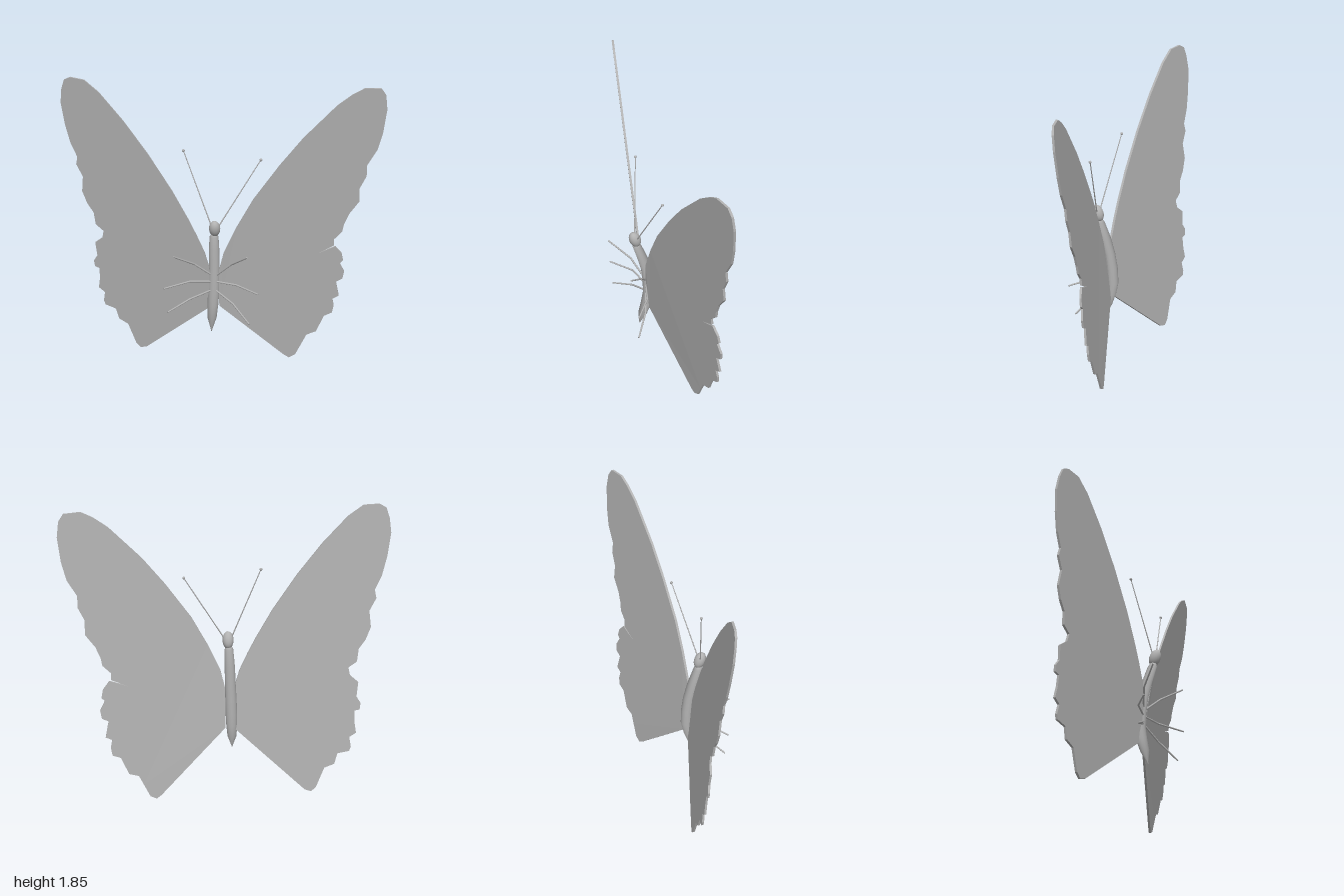
import * as THREE from 'three';

const grey = new THREE.MeshStandardMaterial({ color: 0xb2b2b2 });
grey.name = 'matt grey';

const V = (p) => new THREE.Vector3(...p);

// Scalloped wing outlines, from the upper root round the tip to the lower root
const rightOutline = [
  [-0.07, 0.68], [-0.1, 0.78], [-0.15, 0.89], [-0.2, 0.99], [-0.3, 1.17], [-0.45, 1.4], [-0.6, 1.6],
  [-0.75, 1.77], [-0.84, 1.84], [-0.93, 1.85], [-0.97, 1.83], [-0.99, 1.77], [-1, 1.68],
  [-0.98, 1.54], [-0.95, 1.42], [-0.91, 1.33], [-0.92, 1.28], [-0.88, 1.2], [-0.89, 1.1],
  [-0.86, 1.02], [-0.82, 0.96], [-0.81, 0.88], [-0.76, 0.84], [-0.77, 0.79], [-0.82, 0.75],
  [-0.81, 0.66], [-0.835, 0.62], [-0.83, 0.58], [-0.8, 0.57], [-0.8, 0.5], [-0.81, 0.43], [-0.77, 0.4],
  [-0.78, 0.34], [-0.77, 0.31], [-0.7, 0.29], [-0.68, 0.22], [-0.62, 0.19], [-0.57, 0.06],
  [-0.54, 0.03], [-0.5, 0.04], [-0.07, 0.4],
];
const leftOutline = [
  [-0.01, 0.66], [0.02, 0.78], [0.1, 0.95], [0.2, 1.13], [0.36, 1.35], [0.5, 1.52], [0.7, 1.72],
  [0.79, 1.785], [0.86, 1.82], [0.96, 1.815], [0.99, 1.77], [1, 1.68], [0.98, 1.53], [0.95, 1.42],
  [0.89, 1.32], [0.89, 1.25], [0.85, 1.17], [0.85, 1.08], [0.79, 1], [0.76, 0.93], [0.75, 0.88],
  [0.7, 0.83], [0.7, 0.787], [0.59, 0.735], [0.71, 0.78], [0.75, 0.73], [0.76, 0.68], [0.74, 0.66],
  [0.77, 0.6], [0.76, 0.55], [0.72, 0.53], [0.74, 0.43], [0.7, 0.41], [0.71, 0.36], [0.7, 0.31],
  [0.65, 0.29], [0.6, 0.18], [0.54, 0.16], [0.51, 0.1], [0.47, 0.02], [0.43, 0], [0.4, 0.02],
  [-0.01, 0.41],
];

// Thin plate laid on the sloping plane z = c - a|x| + b y
function wing(name, outline, c, a, b) {
  const depth = 0.014;
  const shape = new THREE.Shape(outline.map(([x, y]) => new THREE.Vector2(x, y)));
  const geo = new THREE.ExtrudeGeometry(shape, { depth, bevelEnabled: false });
  const p = geo.attributes.position;
  for (let i = 0; i < p.count; i++) {
    p.setZ(i, p.getZ(i) - depth / 2 + c - a * Math.abs(p.getX(i)) + b * p.getY(i));
  }
  geo.computeVertexNormals();
  const mesh = new THREE.Mesh(geo, grey);
  mesh.name = name;
  return mesh;
}

// Straight rod between two points
function rod(name, from, to, r0, r1) {
  const a = V(from), d = V(to).sub(a);
  const mesh = new THREE.Mesh(new THREE.CylinderGeometry(r1, r0, d.length(), 8), grey);
  mesh.position.copy(a).addScaledVector(d, 0.5);
  mesh.quaternion.setFromUnitVectors(new THREE.Vector3(0, 1, 0), d.normalize());
  mesh.name = name;
  return mesh;
}

// Curved body: a lathe whose rings are shifted along the spine
function body() {
  const rings = [ // y, radius, spine x, spine z
    [0.255, 0.001, -0.055, 0.055], [0.34, 0.029, -0.053, 0.033], [0.42, 0.035, -0.05, 0.01],
    [0.5, 0.037, -0.047, -0.005], [0.6, 0.036, -0.044, -0.002], [0.7, 0.034, -0.041, 0.012],
    [0.8, 0.033, -0.039, 0.04], [0.9, 0.028, -0.036, 0.075], [0.925, 0.016, -0.035, 0.083],
    [0.93, 0.0001, -0.035, 0.085],
  ];
  const geo = new THREE.LatheGeometry(rings.map(([y, r]) => new THREE.Vector2(r, y)), 14);
  const p = geo.attributes.position;
  for (let i = 0; i < p.count; i++) {
    const [, , x, z] = rings[i % rings.length];
    p.setX(i, p.getX(i) + x);
    p.setZ(i, p.getZ(i) + z);
  }
  const mesh = new THREE.Mesh(geo, grey);
  mesh.name = 'body';
  return mesh;
}

export function createModel() {
  const model = new THREE.Group();
  model.name = 'butterfly';

  model.add(wing('rightWing', rightOutline, -0.02, 0.265, 0.1));
  model.add(wing('leftWing', leftOutline, -0.041, 0.253, 0.1));
  model.add(body());

  // Head, tipped forward
  const head = new THREE.Mesh(new THREE.SphereGeometry(1, 16, 12), grey);
  head.scale.set(0.035, 0.055, 0.036);
  head.position.set(-0.031, 0.958, 0.09);
  head.rotation.x = 0.35;
  head.name = 'head';
  model.add(head);

  // Antennae with small knobs
  const antennae = [
    ['right', [-0.05, 0.97, 0.085], [-0.228, 1.43, 0.015]],
    ['left', [-0.008, 0.97, 0.085], [0.245, 1.383, 0.012]],
  ];
  for (const [side, base, tip] of antennae) {
    model.add(rod(side + 'Antenna', base, tip, 0.004, 0.003));
    const knob = new THREE.Mesh(new THREE.SphereGeometry(0.009, 10, 8), grey);
    knob.position.copy(V(tip));
    knob.name = side + 'AntennaKnob';
    model.add(knob);
  }

  // Legs: hip, knee, foot
  const legs = [
    ['rightFrontLeg', [-0.05, 0.62, 0.02], [-0.16, 0.715, 0.075], [-0.275, 0.8, 0.185]],
    ['rightMiddleLeg', [-0.05, 0.58, 0.02], [-0.19, 0.587, 0.05], [-0.343, 0.575, 0.155]],
    ['rightRearLeg', [-0.05, 0.525, 0.02], [-0.19, 0.47, 0.055], [-0.322, 0.412, 0.145]],
    ['leftFrontLeg', [-0.03, 0.62, 0.02], [0.07, 0.72, 0.08], [0.175, 0.81, 0.188]],
    ['leftMiddleLeg', [-0.03, 0.58, 0.02], [0.1, 0.575, 0.055], [0.245, 0.56, 0.162]],
    ['leftRearLeg', [-0.03, 0.52, 0.02], [0.08, 0.45, 0.06], [0.19, 0.35, 0.145]],
  ];
  for (const [name, hip, knee, foot] of legs) {
    const leg = new THREE.Group();
    leg.name = name;
    leg.add(rod('upperLeg', hip, knee, 0.006, 0.006), rod('lowerLeg', knee, foot, 0.006, 0.005));
    model.add(leg);
  }
  return model;
}
